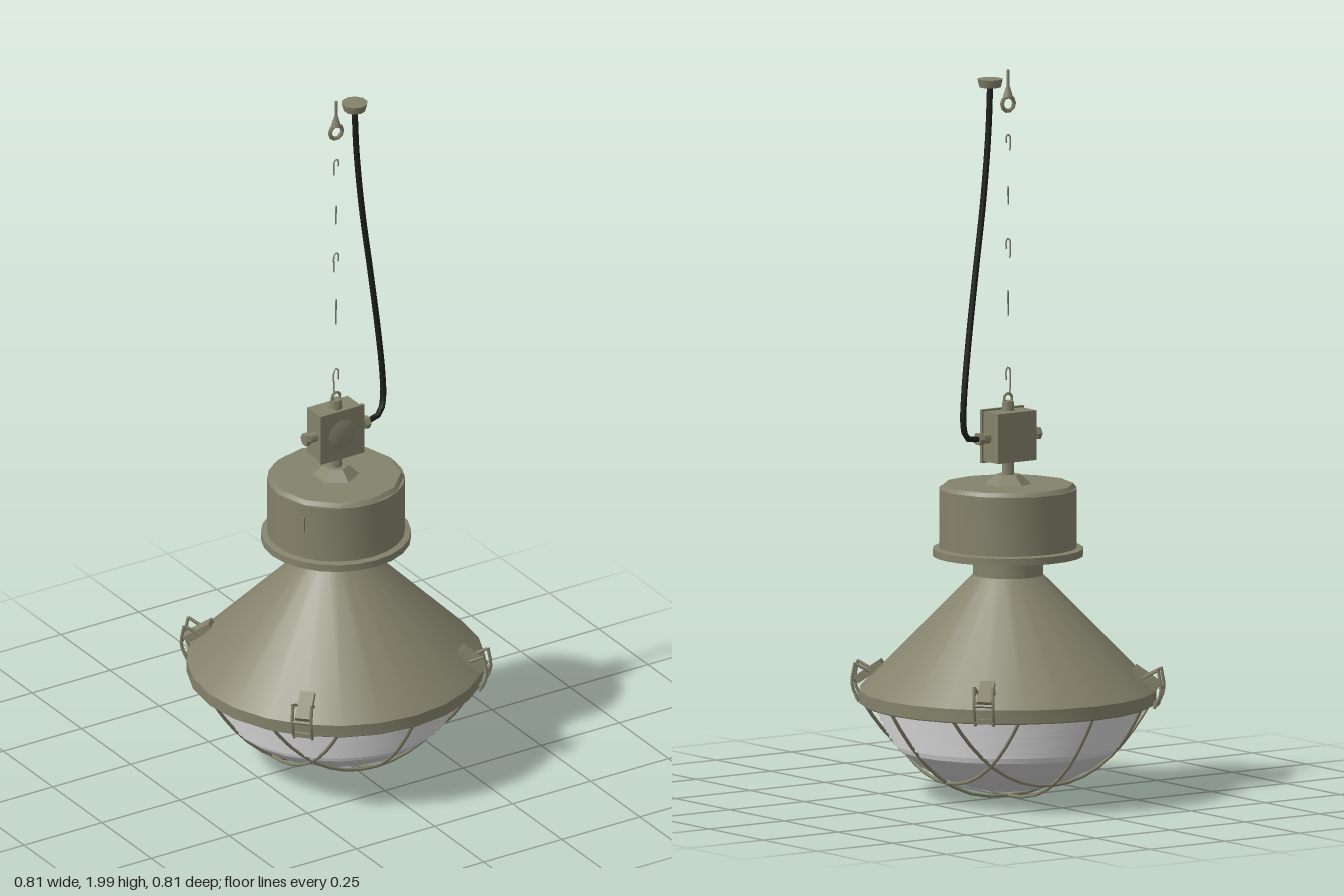
import * as THREE from 'three';
import { toCreasedNormals } from 'three/addons/utils/BufferGeometryUtils.js';

const mat = (name, color) => {
  const m = new THREE.MeshStandardMaterial({ color });
  m.name = name;
  return m;
};

export function createModel() {
  const olive = mat('olive paint', 0x84826b);
  const glassGrey = mat('pale glass', 0xcdcdce);
  const black = mat('black rubber', 0x1e1e1c);

  const root = new THREE.Group();
  root.name = 'pendantLamp';

  const add = (name, geo, material, parent = root, x = 0, y = 0, z = 0) => {
    const m = new THREE.Mesh(geo, material);
    m.name = name;
    m.position.set(x, y, z);
    parent.add(m);
    return m;
  };
  const V = (x, y, z = 0) => new THREE.Vector3(x, y, z);
  const lathe = (pts, sides = 24) => toCreasedNormals(
    new THREE.LatheGeometry(pts.map(p => new THREE.Vector2(p[0], p[1])), sides), 0.5);
  const tube = (pts, r, segs = 16, sides = 6) =>
    new THREE.TubeGeometry(new THREE.CatmullRomCurve3(pts), segs, r, sides);
  const cyl = (r1, r2, h, sides = 10) =>
    toCreasedNormals(new THREE.CylinderGeometry(r1, r2, h, sides), 0.7);

  // Conical reflector with rim and neck
  add('shade', lathe([[0.365, 0.285], [0.37, 0.27], [0.405, 0.27], [0.405, 0.304],
    [0.095, 0.618], [0.095, 0.7]]), olive);

  // Gear housing with stepped underside, flange and faceted cap
  add('housing', lathe([[0.09, 0.7], [0.125, 0.7], [0.125, 0.685], [0.15, 0.685],
    [0.15, 0.695], [0.175, 0.695], [0.175, 0.67], [0.204, 0.67], [0.204, 0.69],
    [0.187, 0.693], [0.187, 0.854], [0, 0.856]]), olive);
  add('housingCap', cyl(0.177, 0.186, 0.012, 12), olive, root, 0, 0.859, 0);
  const slot = add('housingLatch', new THREE.BoxGeometry(0.014, 0.045, 0.008), olive, root, -0.164, 0.795, 0.09);
  slot.rotation.y = Math.atan2(-0.164, 0.09);

  // Mounting dome and stem
  add('mountDome', cyl(0.035, 0.064, 0.027, 6), olive, root, 0, 0.878, 0);
  add('stem', cyl(0.016, 0.018, 0.05), olive, root, 0, 0.91, 0);

  // Glass bowl with stepped ribs around its upper band
  const bowl = [[0, 0.026], [0.06, 0.03], [0.12, 0.042], [0.18, 0.064], [0.24, 0.095], [0.3, 0.142]];
  const ribs = 8;
  const ribRadius = i => 0.304 + 0.066 * Math.pow(i / ribs, 0.85);
  for (let i = 0; i < ribs; i++) {
    const y = 0.142 + 0.128 * (i + 1) / ribs;
    bowl.push([ribRadius(i), y], [ribRadius(i + 1), y]);
  }
  add('glassBowl', lathe(bowl), glassGrey);

  // Wire guard: three bowed wires each way, plus a ring
  const guard = new THREE.Group();
  guard.name = 'wireGuard';
  root.add(guard);
  for (const turn of [0, Math.PI / 2]) {
    for (const c of [-0.205, 0, 0.205]) {
      const half = Math.sqrt(0.395 ** 2 - c * c), pts = [];
      for (let i = 0; i <= 14; i++) {
        const s = Math.sin((i / 14 - 0.5) * Math.PI) * half;
        const r = Math.hypot(c, s);
        pts.push(V(c, 0.012 + 0.264 * Math.pow(r / 0.395, 2.5), s));
      }
      add('guardWire', tube(pts, 0.0048, 16), olive, guard).rotation.y = turn;
    }
  }
  const ring = add('guardRing', new THREE.TorusGeometry(0.392, 0.005, 6, 24), olive, guard, 0, 0.268, 0);
  ring.rotation.x = Math.PI / 2;

  // Four toggle clips around the rim, levers lying along the cone
  for (let i = 0; i < 4; i++) {
    const clip = new THREE.Group();
    clip.name = 'rimClip';
    clip.rotation.y = Math.PI / 4 + i * Math.PI / 2;
    root.add(clip);
    const lever = add('clipLever', new THREE.BoxGeometry(0.04, 0.022, 0.085), olive, clip, 0, 0.344, 0.379);
    lever.rotation.x = 0.6;
    add('clipHook', new THREE.BoxGeometry(0.05, 0.012, 0.016), olive, clip, 0, 0.274, 0.406);
    for (const s of [-1, 1]) {
      add('clipWire', tube([V(s * 0.025, 0.262, 0.405), V(s * 0.026, 0.31, 0.424),
        V(s * 0.026, 0.37, 0.416)], 0.0045, 6), olive, clip);
      add('clipArm', tube([V(s * 0.026, 0.367, 0.416), V(s * 0.022, 0.345, 0.375)], 0.0045, 2), olive, clip);
    }
    const bar = add('clipBar', cyl(0.005, 0.005, 0.056, 6), olive, clip, 0, 0.318, 0.423);
    bar.rotation.z = Math.PI / 2;
  }

  // Junction box with lid, glands and top stub
  add('junctionBox', new THREE.BoxGeometry(0.13, 0.136, 0.068), olive, root, 0, 0.998, -0.009);
  add('boxLid', new THREE.BoxGeometry(0.14, 0.146, 0.01), olive, root, 0, 0.998, 0.028);
  const boss = add('lidBoss', cyl(0.03, 0.045, 0.004, 12), olive, root, 0, 0.998, 0.035);
  boss.rotation.x = Math.PI / 2;
  for (const s of [-1, 1]) {
    const gland = add('cableGland', cyl(0.014, 0.014, 0.03), olive, root, s * 0.078, 0.996, 0);
    const nut = add('glandNut', cyl(0.018, 0.018, 0.014, 6), olive, root, s * 0.096, 0.996, 0);
    gland.rotation.z = nut.rotation.z = Math.PI / 2;
  }
  add('topStub', cyl(0.016, 0.018, 0.026), olive, root, 0, 1.08, 0);
  add('topEye', new THREE.TorusGeometry(0.013, 0.004, 6, 12), olive, root, 0, 1.1, 0);

  // Slender open chain links
  [[1.15, 0.07], [1.36, 0.07], [1.51, 0.055], [1.655, 0.05], [1.8, 0.045]].forEach(([y, h], i) => {
    const w = 0.008, b = y - h / 2, t = y + h / 2;
    const link = add('chainLink', tube([V(-w, b), V(-w, t - 0.006), V(0, t),
      V(w, t - 0.006), V(w, y)], 0.0022, 12, 5), olive);
    link.rotation.y = i % 2 ? 0.9 : 0.25;
  });

  // Ceiling hook
  add('hookEye', new THREE.TorusGeometry(0.02, 0.006, 6, 10), olive, root, 0, 1.907, 0);
  add('hookNeck', cyl(0.005, 0.014, 0.03, 8), olive, root, 0, 1.94, 0);
  add('hookStem', cyl(0.004, 0.004, 0.05, 8), olive, root, 0, 1.975, 0);

  // Ceiling cap and hanging power cable
  add('ceilingCap', cyl(0.036, 0.03, 0.022, 10), olive, root, 0.06, 1.969, 0);
  add('powerCable', tube([V(0.06, 1.96), V(0.066, 1.83, 0), V(0.085, 1.65, -0.003), V(0.115, 1.45, -0.008),
    V(0.145, 1.25, -0.015), V(0.162, 1.11, -0.02), V(0.162, 1.04, -0.018),
    V(0.145, 1.004, -0.01), V(0.09, 0.996, 0)], 0.0085, 40, 8), black);

  return root;
}
